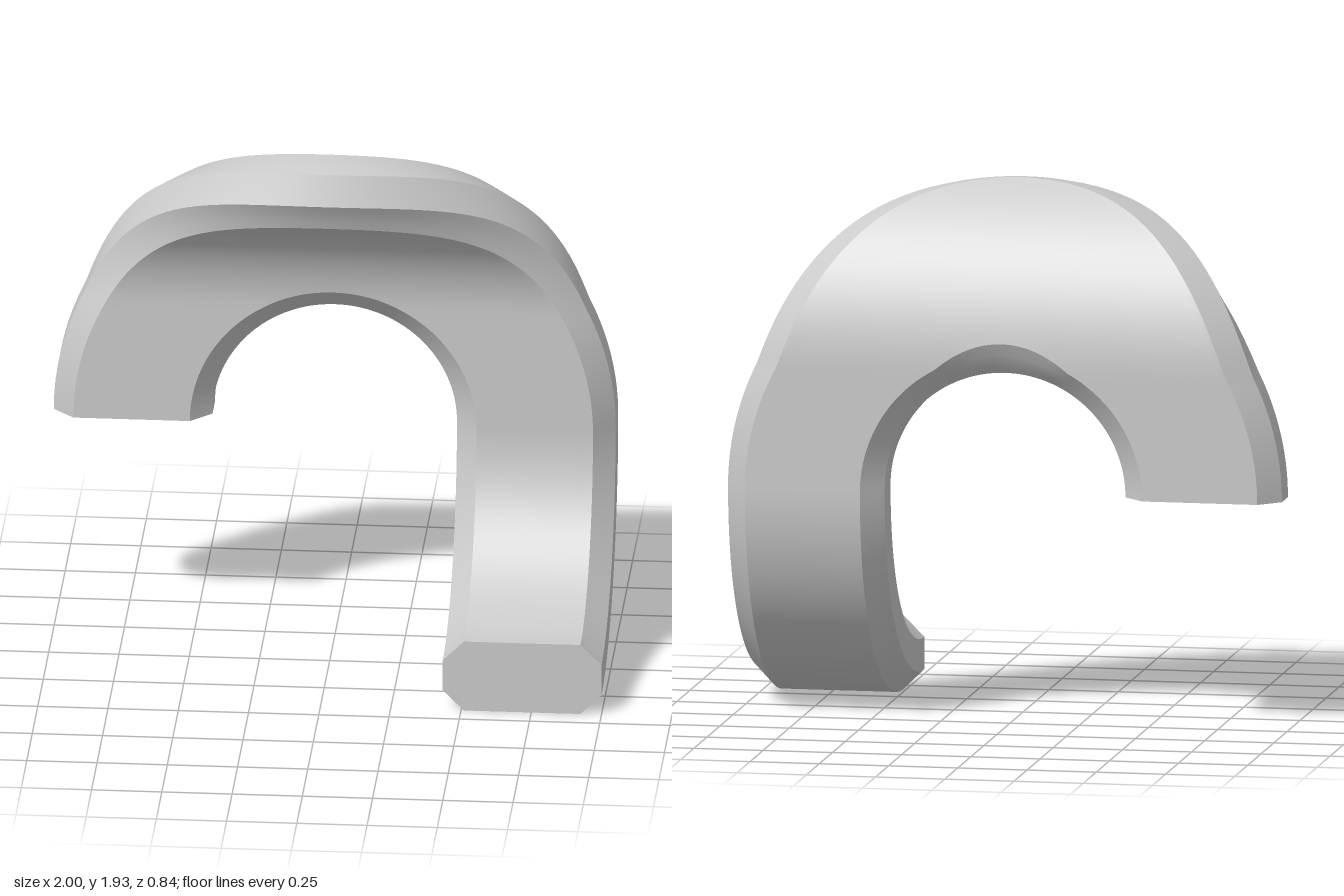
import * as THREE from 'three';
import { toCreasedNormals } from 'three/addons/utils/BufferGeometryUtils.js';

const BASE = 0.84;      // height where the leg and the arch meet
const BEND = 1.29;      // height where the crown starts to curl forward
const BACK = -0.42;     // z of the back face

// Chamfered strap section: [radius from the arch centre, depth from the back face]
const SECTION = [
  [0.51, 0], [0.925, 0], [1, 0.075], [1, 0.19],
  [0.925, 0.265], [0.51, 0.265], [0.435, 0.19], [0.435, 0.075],
];

// Section outline with its wide faces subdivided so that they can bend
function sectionRing() {
  const ring = [];
  SECTION.forEach(([r, t], i) => {
    const [r2, t2] = SECTION[(i + 1) % SECTION.length];
    const steps = Math.abs(r2 - r) > 0.2 ? 20 : 3;
    for (let k = 0; k < steps; k++) {
      const f = k / steps;
      ring.push([r + (r2 - r) * f, t + (t2 - t) * f]);
    }
  });
  return ring;
}

// Flat arch, with everything above BEND curled forward
function archPoint(phi, r, t) {
  const x = r * Math.cos(phi);
  const s = BASE + r * Math.sin(phi);
  if (s <= BEND) return [x, s, BACK + t];
  const a = (s - BEND) / 0.443;
  const rho = 0.728 - t;
  return [x, BEND + rho * Math.sin(a), BACK + 0.728 - rho * Math.cos(a)];
}

// Straight-sided leg curling forward through a quarter turn
function legPoint(a, r, t) {
  const rho = 0.84 - t;
  return [r, BASE - rho * Math.sin(a), 0.42 - rho * Math.cos(a)];
}

function hookGeometry() {
  const ring = sectionRing();
  const n = ring.length;
  const archSteps = 96, legSteps = 40;
  const positions = [], index = [];

  for (let i = 0; i <= archSteps; i++) {
    const phi = Math.PI * (1 - i / archSteps);
    for (const [r, t] of ring) positions.push(...archPoint(phi, r, t));
  }
  for (let i = 1; i <= legSteps; i++) {
    const a = (Math.PI / 2) * (i / legSteps);
    for (const [r, t] of ring) positions.push(...legPoint(a, r, t));
  }

  // Skin between neighbouring sections
  const last = archSteps + legSteps;
  for (let i = 0; i < last; i++) {
    for (let j = 0; j < n; j++) {
      const k = (j + 1) % n;
      const a = i * n + j, b = i * n + k, c = b + n, d = a + n;
      index.push(a, b, c, a, c, d);
    }
  }

  // Flat end faces
  const startCentre = positions.length / 3;
  positions.push(...archPoint(Math.PI, 0.7175, 0.1325));
  positions.push(...legPoint(Math.PI / 2, 0.7175, 0.1325));
  for (let j = 0; j < n; j++) {
    const k = (j + 1) % n;
    index.push(startCentre, k, j);
    index.push(startCentre + 1, last * n + j, last * n + k);
  }

  const geometry = new THREE.BufferGeometry();
  geometry.setAttribute('position', new THREE.Float32BufferAttribute(positions, 3));
  geometry.setIndex(index);
  return toCreasedNormals(geometry, 0.4);
}

export function createModel() {
  const group = new THREE.Group();
  group.name = 'bentHook';
  const hook = new THREE.Mesh(
    hookGeometry(),
    new THREE.MeshStandardMaterial({ color: 0xcccccc })
  );
  hook.name = 'hookStrap';
  group.add(hook);
  return group;
}
